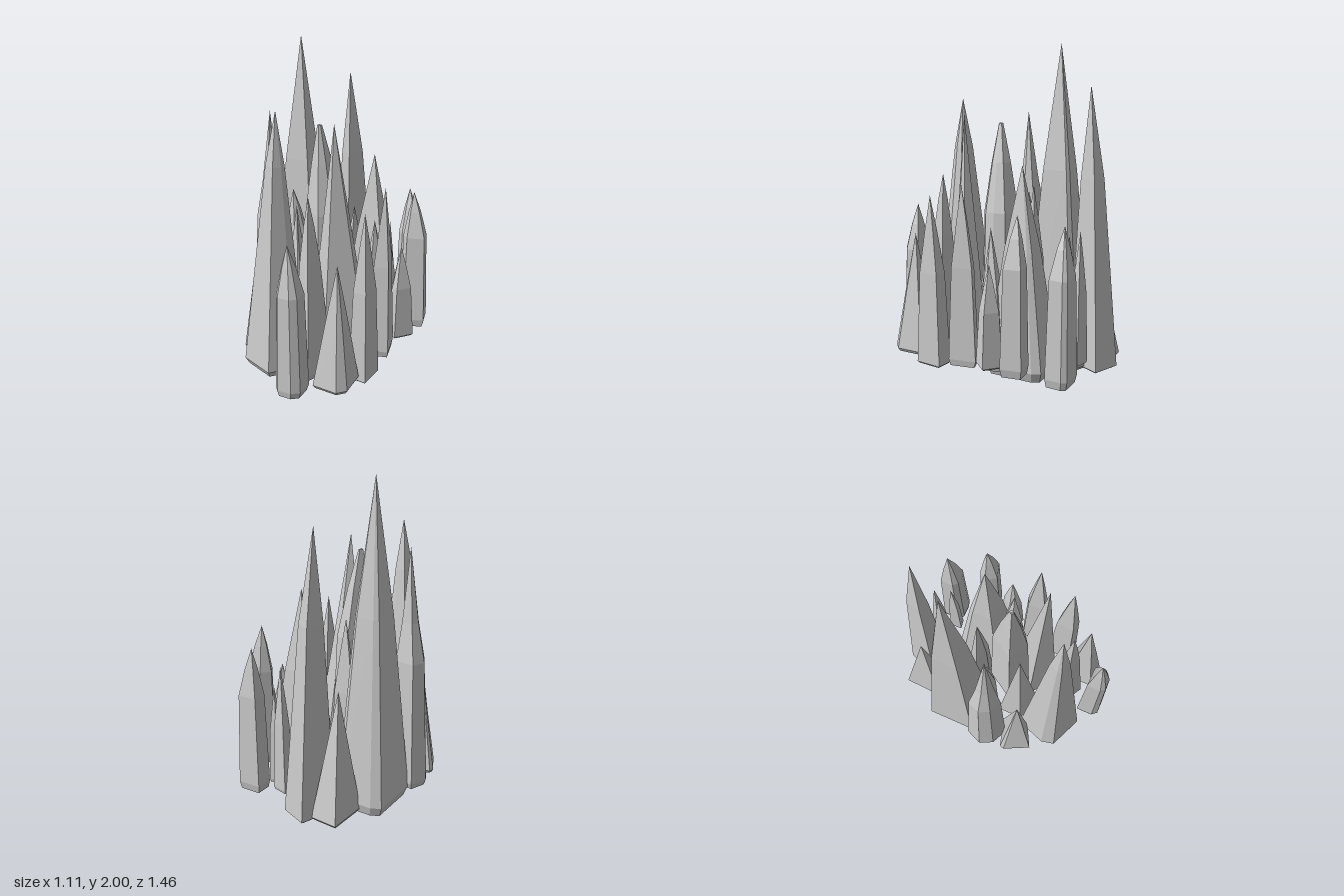
import * as THREE from 'three';

// Profiles: [fraction of height, fraction of footprint] of each ring between base and tip
const SPIRE = [];
const TAPER = [[0.6, 0.5]];
const KNEE = [[0.68, 0.47], [0.83, 0.25]];
const SHARP = [[0.55, 0.75], [0.8, 0.36]];
const BLUNT = [[0.68, 0.82], [0.86, 0.42]];

// One faceted crystal: footprint [x, z] corners run clockwise seen from above,
// every ring shrinks towards the line under the apex [x, y, z].
function crystal(group, name, foot, apex, base, profile, bevel = 0.04) {
  const [ax, ay, az] = apex;
  const n = foot.length;
  const cx = foot.reduce((s, p) => s + p[0], 0) / n;
  const cz = foot.reduce((s, p) => s + p[1], 0) / n;
  const ring = (y, s, ox, oz) => foot.map(([x, z]) => [ox + (x - ox) * s, y, oz + (z - oz) * s]);

  const rings = [ring(base, 0.88, cx, cz), ring(base + bevel, 1, cx, cz)];
  for (const [t, s] of profile) rings.push(ring(base + (ay - base) * t, s, ax, az));

  const pos = [];
  const tri = (a, b, c) => pos.push(...a, ...b, ...c);
  for (let i = 0; i < n; i++) {
    const j = (i + 1) % n;
    tri([cx, base, cz], rings[0][i], rings[0][j]);
    for (let k = 0; k < rings.length - 1; k++) {
      const lo = rings[k], hi = rings[k + 1];
      tri(lo[i], hi[i], lo[j]);
      tri(lo[j], hi[i], hi[j]);
    }
    const last = rings[rings.length - 1];
    tri(last[i], apex, last[j]);
  }
  const geo = new THREE.BufferGeometry();
  geo.setAttribute('position', new THREE.Float32BufferAttribute(pos, 3));
  geo.computeVertexNormals();
  const mesh = new THREE.Mesh(geo, new THREE.MeshStandardMaterial({ color: 0xcccccc, flatShading: true }));
  mesh.name = name;
  group.add(mesh);
}

export function createModel() {
  const g = new THREE.Group();
  g.name = 'crystalCluster';
  const add = (...args) => crystal(g, ...args);

  // Tall main spires
  add('tallestSpire', [[-0.48, -0.4], [-0.42, -0.43], [-0.2, -0.43], [-0.16, -0.4], [-0.16, -0.07], [-0.48, -0.07]],
    [-0.32, 2, -0.235], 0, TAPER, 0.06);
  add('backSpire', [[-0.135, -0.73], [0.04, -0.665], [-0.07, -0.43], [-0.215, -0.5]],
    [-0.11, 1.74, -0.535], 0.01, KNEE, 0.01);
  add('frontSpire', [[-0.29, 0.23], [-0.09, 0.27], [0.01, 0.35], [0, 0.48], [-0.115, 0.615], [-0.34, 0.52], [-0.36, 0.43]],
    [-0.15, 1.65, 0.4], 0.03, [[0.8, 0.29]]);
  add('middleSpire', [[0.19, 0], [0.345, 0.08], [0.35, 0.175], [0.125, 0.345], [-0.055, 0.205]],
    [0.13, 1.56, 0.21], 0.02, SPIRE, 0.03);
  add('rightSideSpire', [[0.02, -0.37], [0.08, -0.43], [0.33, -0.44], [0.36, -0.39], [0.36, -0.08], [0.03, -0.1]],
    [0.2, 1.28, -0.24], 0.01, TAPER, 0.06);

  // Blunt shouldered crystals in the middle and along the left edge
  add('centreCrystal', [[-0.03, -0.12], [0.1, -0.07], [0.12, 0.02], [0.09, 0.11], [0, 0.175], [-0.155, 0.08]],
    [-0.05, 1.51, 0.05], 0.03, [[0.62, 0.8], [0.83, 0.45], [0.995, 0.1]]);
  add('edgeCrystal', [[-0.51, -0.085], [-0.34, -0.06], [-0.32, 0.06], [-0.4, 0.165], [-0.51, 0.115], [-0.555, 0.025]],
    [-0.4, 1.56, 0.04], 0.04, [[0.54, 0.75], [0.7, 0.43]]);
  add('innerCrystal', [[-0.335, -0.085], [-0.19, -0.105], [-0.175, -0.03], [-0.24, 0.04], [-0.325, 0.03], [-0.345, -0.02]],
    [-0.28, 1.04, -0.03], 0.06, BLUNT);
  add('innerSlimCrystal', [[-0.17, -0.22], [0.005, -0.22], [0.005, -0.12], [-0.07, -0.105], [-0.17, -0.16]],
    [-0.08, 1.12, -0.17], 0.06, SHARP);

  // Low pyramids between the spires
  add('backPyramid', [[-0.33, -0.67], [-0.155, -0.66], [-0.17, -0.41], [-0.34, -0.41]],
    [-0.25, 0.8, -0.51], 0.01, SPIRE, 0.02);
  add('backInnerPyramid', [[-0.03, -0.575], [0.11, -0.525], [0, -0.26], [-0.16, -0.39]],
    [-0.03, 0.83, -0.445], 0.01, SPIRE, 0.02);
  add('innerPyramid', [[-0.26, 0.05], [-0.055, 0.06], [-0.055, 0.26], [-0.08, 0.29], [-0.26, 0.22]],
    [-0.155, 1, 0.155], 0.03, SPIRE);
  add('leftPyramid', [[-0.51, 0.17], [-0.32, 0.11], [-0.285, 0.29], [-0.435, 0.37], [-0.52, 0.2]],
    [-0.385, 0.8, 0.24], 0.04, SPIRE, 0.02);
  add('frontPyramid', [[0.18, 0.4], [0.385, 0.39], [0.39, 0.565], [0.34, 0.615], [0.18, 0.6]],
    [0.285, 0.81, 0.485], 0.04, [[0.5, 0.53]], 0.02);
  add('frontInnerPyramid', [[0.01, 0.32], [0.19, 0.36], [0.12, 0.545], [-0.03, 0.46]],
    [0.065, 1.17, 0.42], 0.03, [[0.65, 0.5], [0.85, 0.25]]);
  add('sideInnerPyramid', [[0.215, -0.175], [0.37, -0.2], [0.395, -0.07], [0.28, 0.04], [0.17, -0.055]],
    [0.28, 0.9, -0.07], 0.04, TAPER);

  // Small crystals around the rim
  add('frontRimCrystal', [[-0.02, 0.575], [0.145, 0.58], [0.145, 0.69], [0.1, 0.725], [0.01, 0.725], [-0.02, 0.69]],
    [0.045, 0.95, 0.64], 0.01, BLUNT);
  add('sideRimCrystalA', [[0.33, 0.2], [0.44, 0.21], [0.425, 0.385], [0.31, 0.37]],
    [0.375, 1.08, 0.305], 0.01, SHARP, 0.01);
  add('sideRimCrystalB', [[0.345, -0.02], [0.43, -0.05], [0.465, 0.12], [0.345, 0.145]],
    [0.4, 1.17, 0.06], 0.06, SHARP);
  add('sideRimCrystalC', [[0.36, -0.15], [0.435, -0.24], [0.53, -0.16], [0.44, -0.06], [0.385, -0.09]],
    [0.435, 0.72, -0.15], 0.1, SHARP, 0.01);
  add('sideRimCrystalD', [[0.365, -0.335], [0.42, -0.405], [0.53, -0.415], [0.555, -0.29], [0.425, -0.25]],
    [0.44, 1.03, -0.34], 0.1, BLUNT, 0.05);
  add('backRimCrystalA', [[0.26, -0.64], [0.41, -0.645], [0.43, -0.615], [0.425, -0.51], [0.385, -0.495], [0.3, -0.495], [0.26, -0.53]],
    [0.325, 0.97, -0.58], 0.04, BLUNT, 0.05);
  add('backRimCrystalB', [[0.18, -0.55], [0.235, -0.56], [0.245, -0.475], [0.185, -0.465]],
    [0.21, 0.73, -0.52], 0.1, SHARP, 0.02);
  add('backRimCrystalC', [[0.07, -0.62], [0.17, -0.6], [0.145, -0.53], [0.05, -0.56]],
    [0.11, 0.9, -0.58], 0.09, SHARP, 0.02);

  return g;
}
